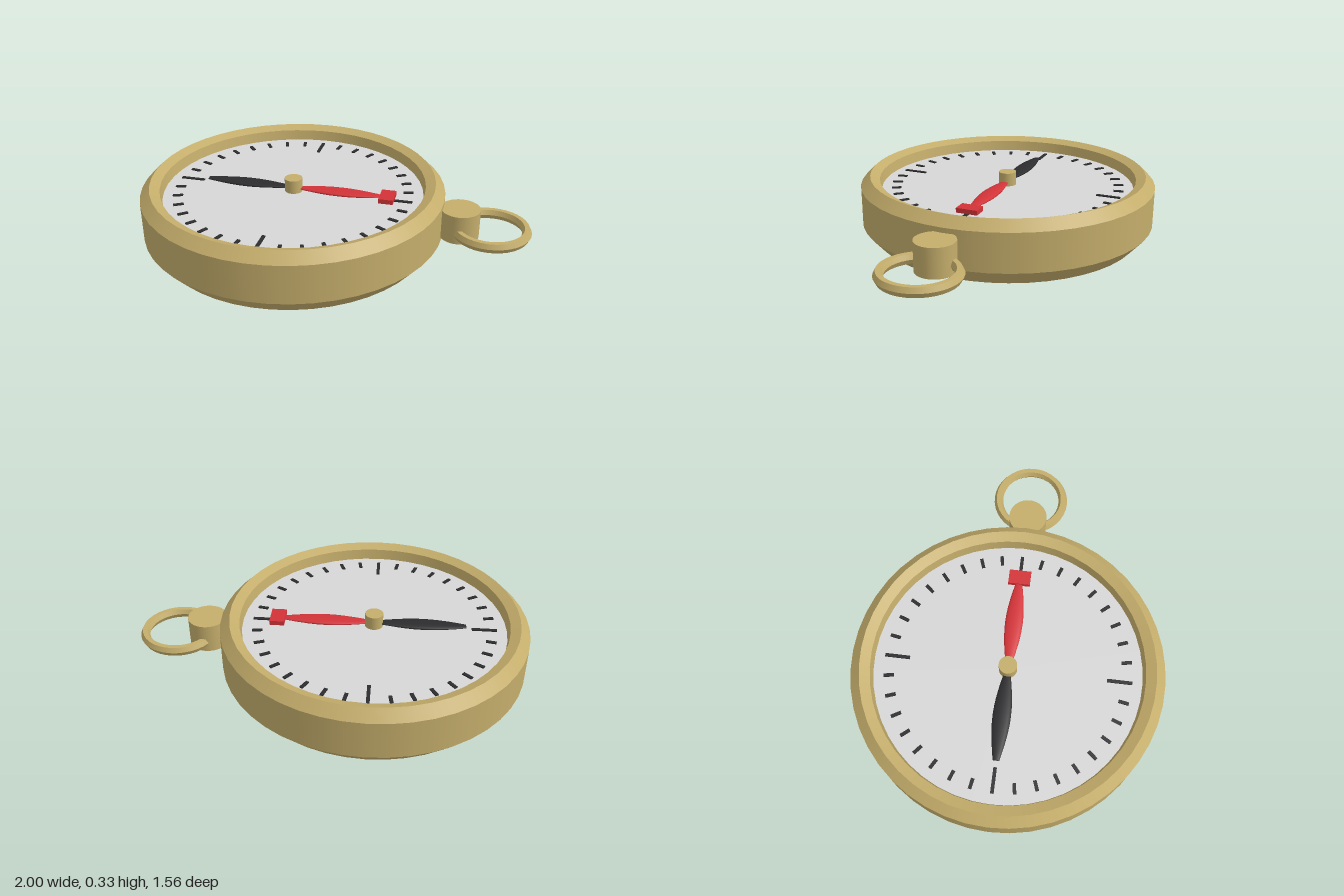
import * as THREE from 'three';
import { mergeGeometries } from 'three/addons/utils/BufferGeometryUtils.js';

const CX = -0.22;      // centre of the case
const DIAL_Y = 0.255;  // top of the dial

const paint = (color) => new THREE.MeshStandardMaterial({ color });

// Revolved profile with a hard edge at every point, smooth around the axis
function turned(points, segments) {
  const bands = [];
  for (let i = 0; i < points.length - 1; i++) {
    const pair = [points[i], points[i + 1]].map(([x, y]) => new THREE.Vector2(x, y));
    bands.push(new THREE.LatheGeometry(pair, segments));
  }
  return mergeGeometries(bands);
}

export function createModel() {
  const brass = paint(0xc4ad6b);
  const dialGrey = paint(0xd6d6d6);
  const black = paint(0x2c2c2e);
  const red = paint(0xd23338);
  brass.name = 'brass';
  dialGrey.name = 'dialGrey';
  black.name = 'black';
  red.name = 'red';

  const model = new THREE.Group();
  model.name = 'compass';
  const add = (name, geometry, material, x = 0, y = 0, z = 0) => {
    const mesh = new THREE.Mesh(geometry, material);
    mesh.name = name;
    mesh.position.set(x, y, z);
    model.add(mesh);
    return mesh;
  };

  // Case with chamfered foot, rim and inner wall
  add('case', turned([
    [0, 0], [0.71, 0], [0.78, 0.08], [0.78, 0.28],
    [0.73, 0.33], [0.68, 0.31], [0.67, DIAL_Y - 0.005],
  ], 48), brass, CX);

  // Dial
  add('dial', new THREE.CylinderGeometry(0.672, 0.672, 0.02, 48), dialGrey, CX, DIAL_Y - 0.01);

  // Tick marks every ten degrees, longer at the four quarters
  for (let i = 0; i < 36; i++) {
    const major = i % 9 === 0;
    const length = major ? 0.125 : 0.052;
    const tick = new THREE.BoxGeometry(length, 0.006, 0.017);
    tick.translate(0.62 - length / 2, 0, 0);
    add(major ? 'majorTick' : 'minorTick', tick, black, CX, DIAL_Y + 0.003)
      .rotation.y = (i * Math.PI) / 18;
  }

  // Needle halves: flattened spindles lying along x
  const spindle = (length) => {
    const points = [new THREE.Vector2(0, -length / 2)];
    for (let i = 0; i <= 10; i++) {
      const t = i / 10;
      points.push(new THREE.Vector2(0.016 + 0.029 * Math.sin(Math.PI * t), (t - 0.5) * length));
    }
    points.push(new THREE.Vector2(0, length / 2));
    return new THREE.LatheGeometry(points, 16).rotateZ(-Math.PI / 2).scale(1, 0.3, 1);
  };
  add('southNeedle', spindle(0.44), black, CX - 0.245, DIAL_Y + 0.018);
  add('northNeedle', spindle(0.44), red, CX + 0.245, DIAL_Y + 0.018);
  add('needleTip', new THREE.BoxGeometry(0.075, 0.024, 0.112), red, 0.272, DIAL_Y + 0.018);

  // Centre pin
  add('pin', new THREE.CylinderGeometry(0.046, 0.046, 0.07, 24), brass, CX, DIAL_Y + 0.035);

  // Post on the side of the case
  add('post', new THREE.CylinderGeometry(0.1, 0.1, 0.15, 32), brass, 0.643, 0.18);

  // Carrying ring with a six-sided section
  const section = [];
  for (let i = 0; i <= 6; i++) {
    const a = (i * Math.PI) / 3;
    section.push([0.177 + 0.024 * Math.cos(a), 0.028 * Math.sin(a)]);
  }
  add('carryingRing', turned(section, 36), brass, 0.799, 0.155);

  return model;
}
